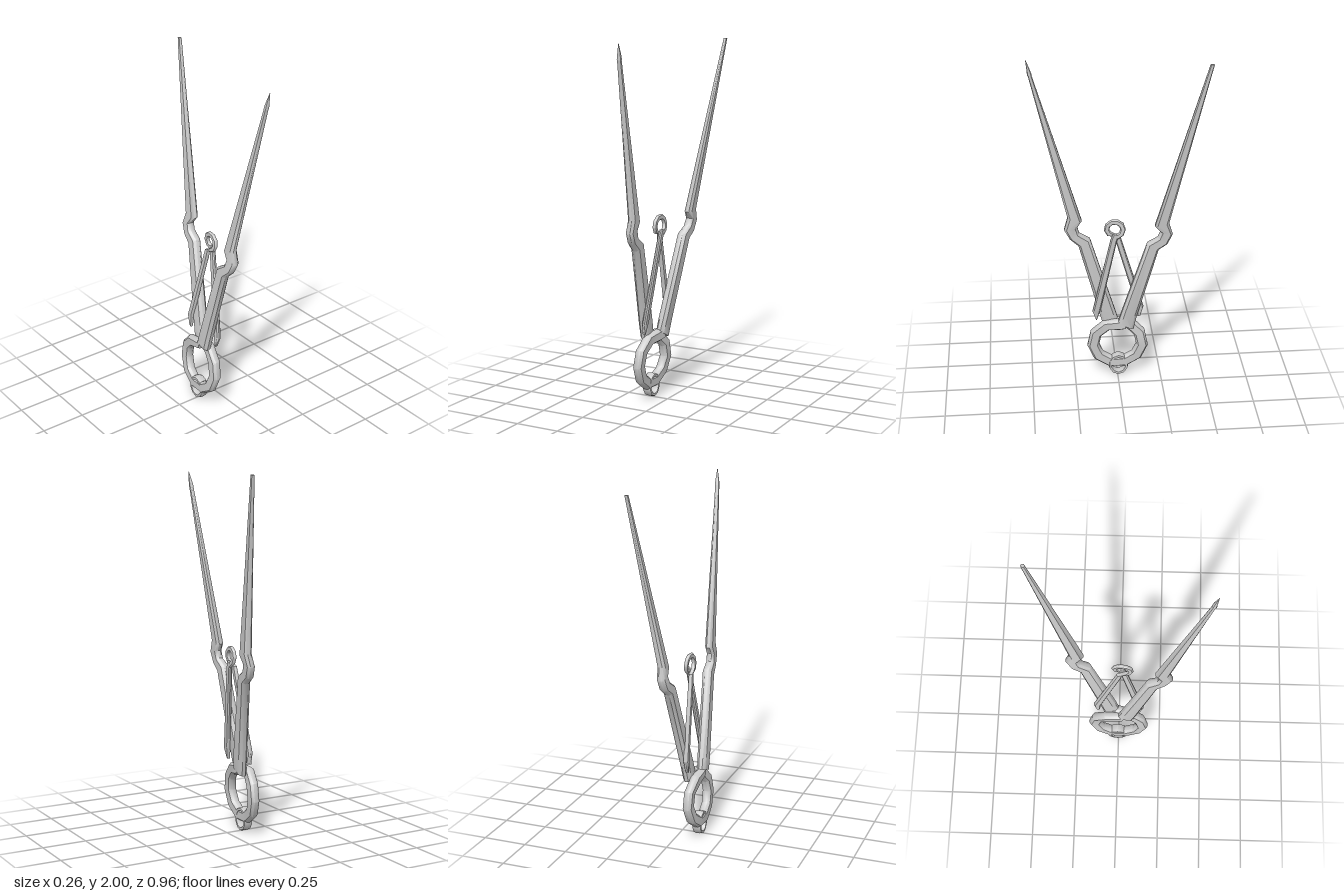
import * as THREE from 'three';
import { toCreasedNormals } from 'three/addons/utils/BufferGeometryUtils.js';

const material = new THREE.MeshStandardMaterial({ color: 0xcccccc });

// Bevelled section: [across the width, across the thickness]
const SECTION = [[1, 0.4], [0.65, 1], [-0.65, 1], [-1, 0.4], [-1, -0.4], [-0.65, -1], [0.65, -1], [1, -0.4]];

// Loft through stations [z1, y1, z2, y2, x, halfThickness]: two edge points, depth and thickness
function loft(name, stations, closed = false) {
  const n = SECTION.length, rings = stations.length, pos = [], idx = [];
  for (const [z1, y1, z2, y2, x, t] of stations) {
    for (const [s, u] of SECTION) {
      pos.push(x + u * t, (y1 + y2) / 2 + s * (y2 - y1) / 2, (z1 + z2) / 2 + s * (z2 - z1) / 2);
    }
  }
  for (let i = 0; i < (closed ? rings : rings - 1); i++) {
    for (let j = 0; j < n; j++) {
      const a = i * n + j, b = i * n + (j + 1) % n;
      const c = ((i + 1) % rings) * n + j, d = ((i + 1) % rings) * n + (j + 1) % n;
      idx.push(a, b, d, a, d, c);
    }
  }
  if (!closed) {
    const e = (rings - 1) * n;
    for (let j = 1; j < n - 1; j++) idx.push(0, j + 1, j, e, e + j, e + j + 1);
  }
  // Turn the faces outward if the loft ran the other way
  const p = (i) => new THREE.Vector3().fromArray(pos, i * 3);
  let volume = 0;
  for (let i = 0; i < idx.length; i += 3) volume += p(idx[i]).dot(p(idx[i + 1]).cross(p(idx[i + 2])));
  if (volume < 0) idx.reverse();
  const g = new THREE.BufferGeometry();
  g.setAttribute('position', new THREE.Float32BufferAttribute(pos, 3));
  g.setIndex(idx);
  const mesh = new THREE.Mesh(toCreasedNormals(g, 0.75), material);
  mesh.name = name;
  return mesh;
}

// Part of a faceted ring in the side plane; angles run from the top toward +z
function arc(cz, cy, inner, outer, from, to, count, depth, t, stretch = 1) {
  const out = [];
  for (let i = 0; i < count; i++) {
    const a = from + (to - from) * i / count, s = Math.sin(a), c = Math.cos(a) * stretch;
    out.push([cz + inner * s, cy + inner * c, cz + outer * s, cy + outer * c, depth(i / count), t]);
  }
  return out;
}

export function createModel() {
  const group = new THREE.Group();
  group.name = 'compass';

  // Leg leaning to the back, ending in a blunt tip
  group.add(loft('backLeg', [
    [0.0, 0.385, -0.087, 0.34, -0.057, 0.025],
    [-0.02, 0.46, -0.108, 0.44, -0.048, 0.027],
    [-0.157, 0.925, -0.22, 0.885, 0.002, 0.026],
    [-0.215, 0.962, -0.267, 0.92, 0.008, 0.024],
    [-0.228, 1.0, -0.295, 0.985, 0.014, 0.023],
    [-0.196, 1.04, -0.273, 1.055, 0.02, 0.023],
    [-0.457, 2.0, -0.478, 2.0, 0.119, 0.008],
  ]));

  // Leg leaning to the front
  group.add(loft('frontLeg', [
    [0.0, 0.39, 0.087, 0.36, -0.106, 0.025],
    [0.02, 0.46, 0.108, 0.44, -0.103, 0.027],
    [0.155, 0.92, 0.22, 0.88, -0.083, 0.026],
    [0.215, 0.958, 0.267, 0.925, -0.08, 0.023],
    [0.225, 1.0, 0.298, 0.985, -0.077, 0.022],
    [0.2, 1.04, 0.278, 1.06, -0.075, 0.022],
    [0.452, 1.92, 0.47, 1.915, -0.03, 0.01],
  ]));

  // Needle point
  group.add(loft('needle', [
    [0.448, 1.915, 0.473, 1.915, -0.03, 0.011],
    [0.456, 1.94, 0.474, 1.94, -0.028, 0.009],
    [0.478, 2.0, 0.48, 2.0, -0.024, 0.001],
  ]));

  // Large ring winding from one leg foot to the other
  const depths = [-0.062, -0.083, -0.096, -0.103, -0.107, -0.109, -0.107, -0.098, -0.088, -0.09, -0.104];
  const ring = arc(0, 0.225, 0.108, 0.176, -0.1, Math.PI * 2 + 0.1, 11,
    (f) => depths[Math.round(f * 11)], 0.025);
  ring.unshift([-0.045, 0.34, -0.035, 0.395, -0.058, 0.024]);
  ring.push([0.02, 0.342, 0.03, 0.39, -0.106, 0.024]);
  group.add(loft('handleRing', ring));

  // Small eyelet through the bottom of the ring
  group.add(loft('eyelet',
    arc(-0.005, 0.072, 0.04, 0.058, 0, Math.PI * 2, 10, () => -0.106, 0.024, 1.18), true));

  // Spring: coil and two arms
  const coil = arc(0.02, 0.998, 0.03, 0.06, Math.PI + 0.25, Math.PI * 3 - 0.1, 9,
    (f) => -0.026 - 0.022 * f, 0.01);
  coil.push([0.025, 0.965, 0.0, 0.94, -0.05, 0.01]);
  group.add(loft('springCoil', coil));
  group.add(loft('springFrontArm', [
    [-0.005, 0.965, 0.03, 0.975, -0.026, 0.01],
    [0.008, 0.93, 0.043, 0.938, -0.03, 0.011],
    [0.098, 0.47, 0.146, 0.455, -0.072, 0.013],
    [0.12, 0.395, 0.126, 0.395, -0.08, 0.008],
  ]));
  group.add(loft('springBackArm', [
    [0.022, 0.955, -0.012, 0.945, -0.049, 0.01],
    [0.01, 0.9, -0.022, 0.91, -0.051, 0.011],
    [-0.103, 0.49, -0.146, 0.48, -0.07, 0.013],
    [-0.112, 0.41, -0.13, 0.415, -0.074, 0.008],
  ]));

  return group;
}
